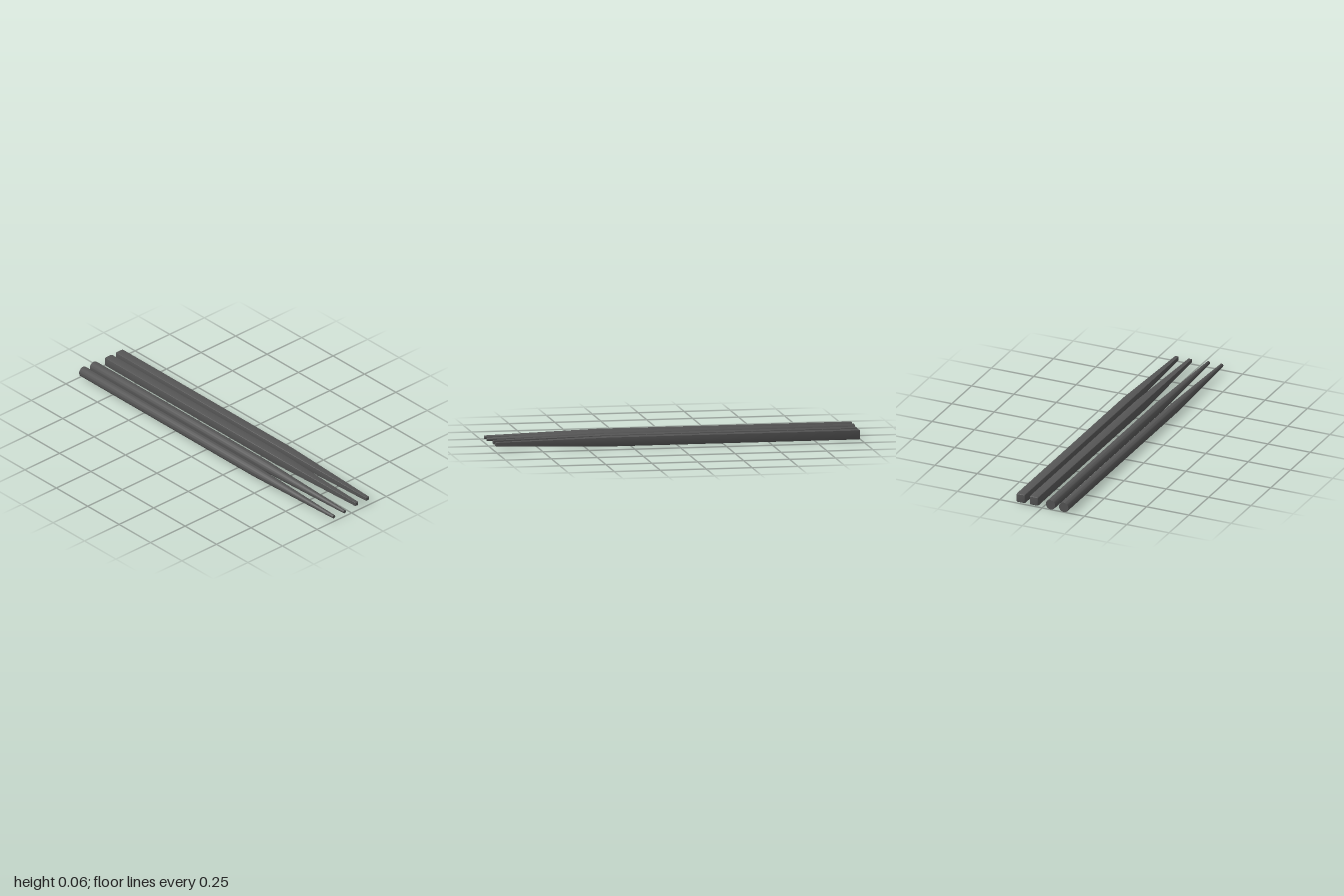
import * as THREE from 'three';
import { toCreasedNormals } from 'three/addons/utils/BufferGeometryUtils.js';

// Joins scaled copies of an outline along z; rings are [z, scale], ends are capped.
function loft(outline, rings) {
  const n = outline.length;
  const pos = [];
  const index = [];
  for (const [z, s] of rings) for (const p of outline) pos.push(p.x * s, p.y * s, z);
  for (let r = 0; r < rings.length - 1; r++) {
    for (let i = 0; i < n; i++) {
      const a = r * n + i, b = r * n + (i + 1) % n;
      index.push(a, b, b + n, a, b + n, a + n);
    }
  }
  const last = (rings.length - 1) * n;
  const back = pos.length / 3, front = back + 1;
  pos.push(0, 0, rings[0][0], 0, 0, rings[rings.length - 1][0]);
  for (let i = 0; i < n; i++) {
    const j = (i + 1) % n;
    index.push(back, j, i, front, last + i, last + j);
  }
  const geo = new THREE.BufferGeometry();
  geo.setAttribute('position', new THREE.Float32BufferAttribute(pos, 3));
  geo.setIndex(index);
  return toCreasedNormals(geo, 0.5);
}

// Counter-clockwise unit circle
function circleOutline(sides) {
  return Array.from({ length: sides }, (_, i) => {
    const a = (i / sides) * Math.PI * 2;
    return new THREE.Vector2(Math.cos(a), Math.sin(a));
  });
}

// Counter-clockwise square of half width 1 with rounded corners
function squareOutline(radius, steps) {
  const points = [];
  for (let c = 0; c < 4; c++) {
    const mid = Math.PI / 4 + c * Math.PI / 2;
    const cx = Math.sign(Math.cos(mid)) * (1 - radius);
    const cy = Math.sign(Math.sin(mid)) * (1 - radius);
    for (let k = 0; k <= steps; k++) {
      const a = (c + k / steps) * Math.PI / 2;
      points.push(new THREE.Vector2(cx + radius * Math.cos(a), cy + radius * Math.sin(a)));
    }
  }
  return points;
}

export function createModel() {
  const group = new THREE.Group();
  const material = new THREE.MeshStandardMaterial({ color: 0x555555 });

  // Straight handle, long taper, blunt tip
  const round = loft(circleOutline(32), [
    [-1, 0.0275], [-0.998, 0.0285], [0.38, 0.0285], [0.998, 0.0098], [1, 0.009],
  ]);
  // Square handle with softened edges and ends
  const square = loft(squareOutline(0.2, 3), [
    [-0.995, 0.0215], [-0.993, 0.0243], [-0.989, 0.0257],
    [0.36, 0.0257], [0.982, 0.0105], [0.986, 0.0085],
  ]);

  const sticks = [
    ['roundChopstickOuter', round, -0.1275],
    ['roundChopstickInner', round, -0.05],
    ['squareChopstickInner', square, 0.051],
    ['squareChopstickOuter', square, 0.129],
  ];
  for (const [name, geometry, x] of sticks) {
    const mesh = new THREE.Mesh(geometry, material);
    mesh.name = name;
    mesh.position.set(x, 0.0287, 0);
    group.add(mesh);
  }
  return group;
}
